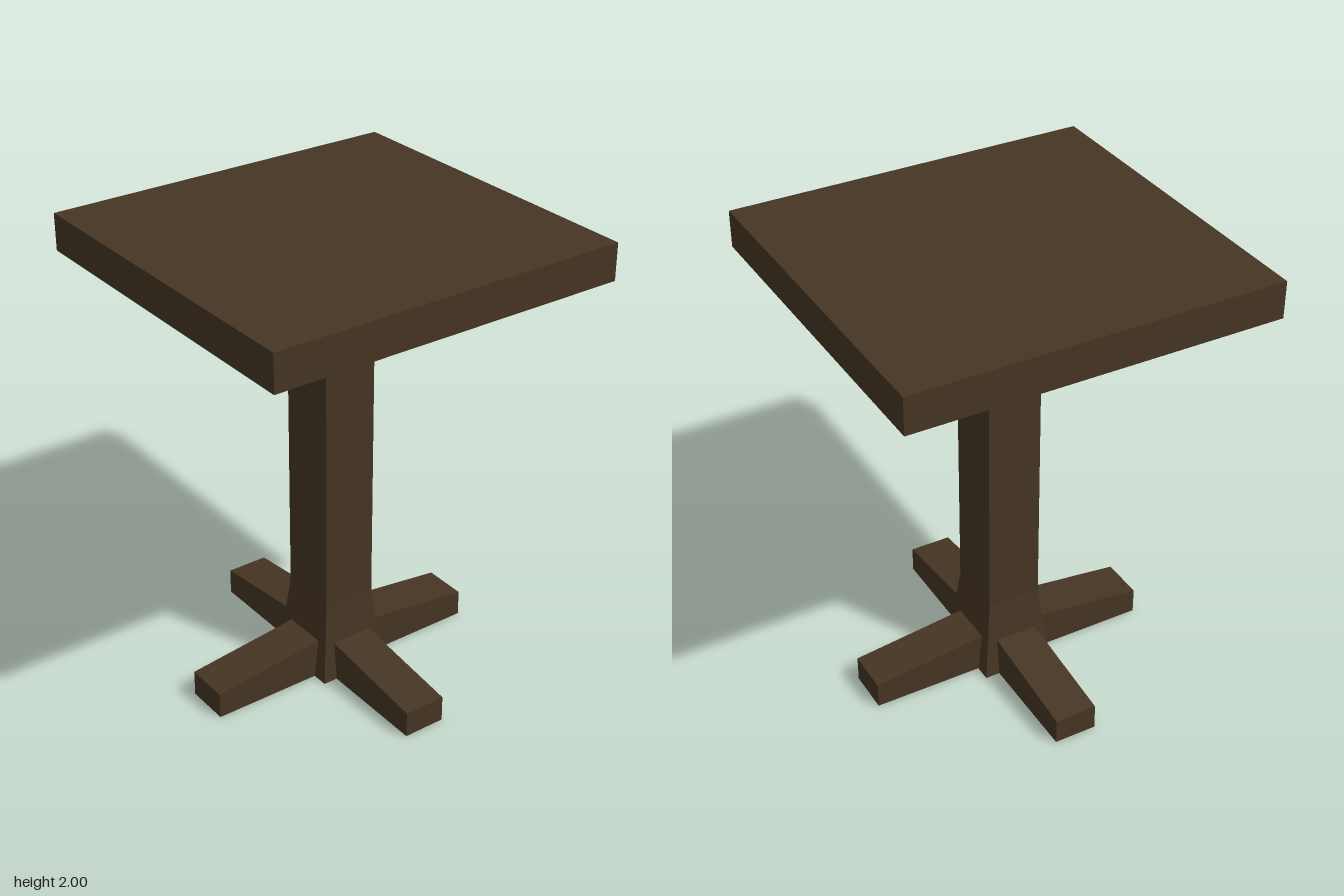
import * as THREE from 'three';

export function createModel() {
  const group = new THREE.Group();
  const wood = new THREE.MeshStandardMaterial({ color: 0x453523 });
  wood.name = 'darkWood';

  const add = (name, geometry) => {
    const mesh = new THREE.Mesh(geometry, wood);
    mesh.name = name;
    group.add(mesh);
    return mesh;
  };

  // Square slab top
  add('tableTop', new THREE.BoxGeometry(1.51, 0.158, 1.574)).position.y = 1.921;

  // Column flared at both ends: [y, half width x, half width z] per ring
  const rings = [
    [0, 0.17, 0.157],
    [0.36, 0.131, 0.118],
    [1.59, 0.131, 0.118],
    [1.842, 0.167, 0.151],
  ];
  const box = new THREE.BoxGeometry(2, 3, 2, 1, 3, 1);
  const pos = box.attributes.position;
  for (let i = 0; i < pos.count; i++) {
    const [y, hx, hz] = rings[Math.round(pos.getY(i) + 1.5)];
    pos.setXYZ(i, Math.sign(pos.getX(i)) * hx, y, Math.sign(pos.getZ(i)) * hz);
  }
  const column = box.toNonIndexed();
  column.computeVertexNormals();
  add('column', column);

  // Four feet with sloping tops, reaching outward from the column
  const footGeometry = (reach, width) => {
    const side = new THREE.Shape([
      new THREE.Vector2(0.1, 0),
      new THREE.Vector2(reach, 0),
      new THREE.Vector2(reach, 0.115),
      new THREE.Vector2(0.1, 0.181),
    ]);
    return new THREE.ExtrudeGeometry(side, { depth: width, bevelEnabled: false })
      .translate(0, 0, -width / 2);
  };
  const sideFoot = footGeometry(0.653, 0.186);
  const endFoot = footGeometry(0.64, 0.196);
  ['leftFoot', 'backFoot', 'rightFoot', 'frontFoot'].forEach((name, i) => {
    add(name, i % 2 ? endFoot : sideFoot).rotation.y = i * Math.PI / 2;
  });

  return group;
}
